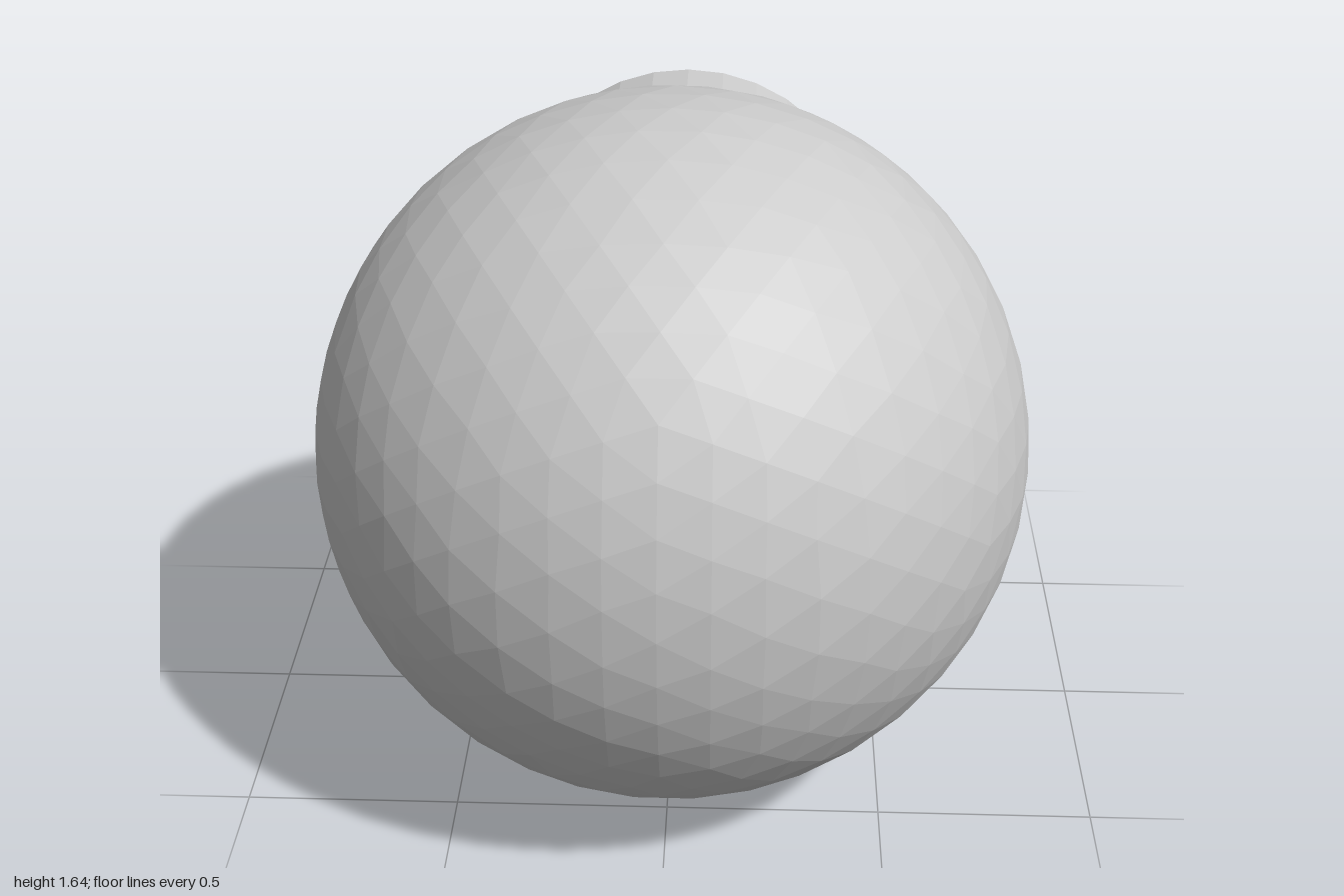
import * as THREE from 'three';

// Icosphere: split every triangle in four and push it to the sphere, level by level
function icosphere(radius, levels) {
  let geometry = new THREE.IcosahedronGeometry(radius, 0);
  for (let i = 0; i < levels; i++) {
    const points = Array.from(geometry.attributes.position.array);
    const corners = Array.from({ length: points.length / 3 }, (_, k) => k);
    geometry = new THREE.PolyhedronGeometry(points, corners, radius, 1);
  }
  return geometry;
}

export function createModel() {
  const model = new THREE.Group();
  model.name = 'globeWithNeck';
  const material = new THREE.MeshStandardMaterial({ color: 0xcccccc, flatShading: true });
  const centreY = 0.825;

  // Faceted globe
  const globe = new THREE.Mesh(icosphere(0.82, 3), material);
  globe.name = 'globe';
  globe.position.set(0, centreY, 0.18);
  model.add(globe);

  // Cylindrical neck at the back, sunk slightly into the globe
  const backZ = -1, innerZ = -0.46;
  const neckGeometry = new THREE.CylinderGeometry(0.48, 0.48, innerZ - backZ, 32);
  neckGeometry.rotateX(Math.PI / 2);
  const neck = new THREE.Mesh(neckGeometry, material);
  neck.name = 'neck';
  neck.position.set(0, centreY, (backZ + innerZ) / 2);
  model.add(neck);

  return model;
}
